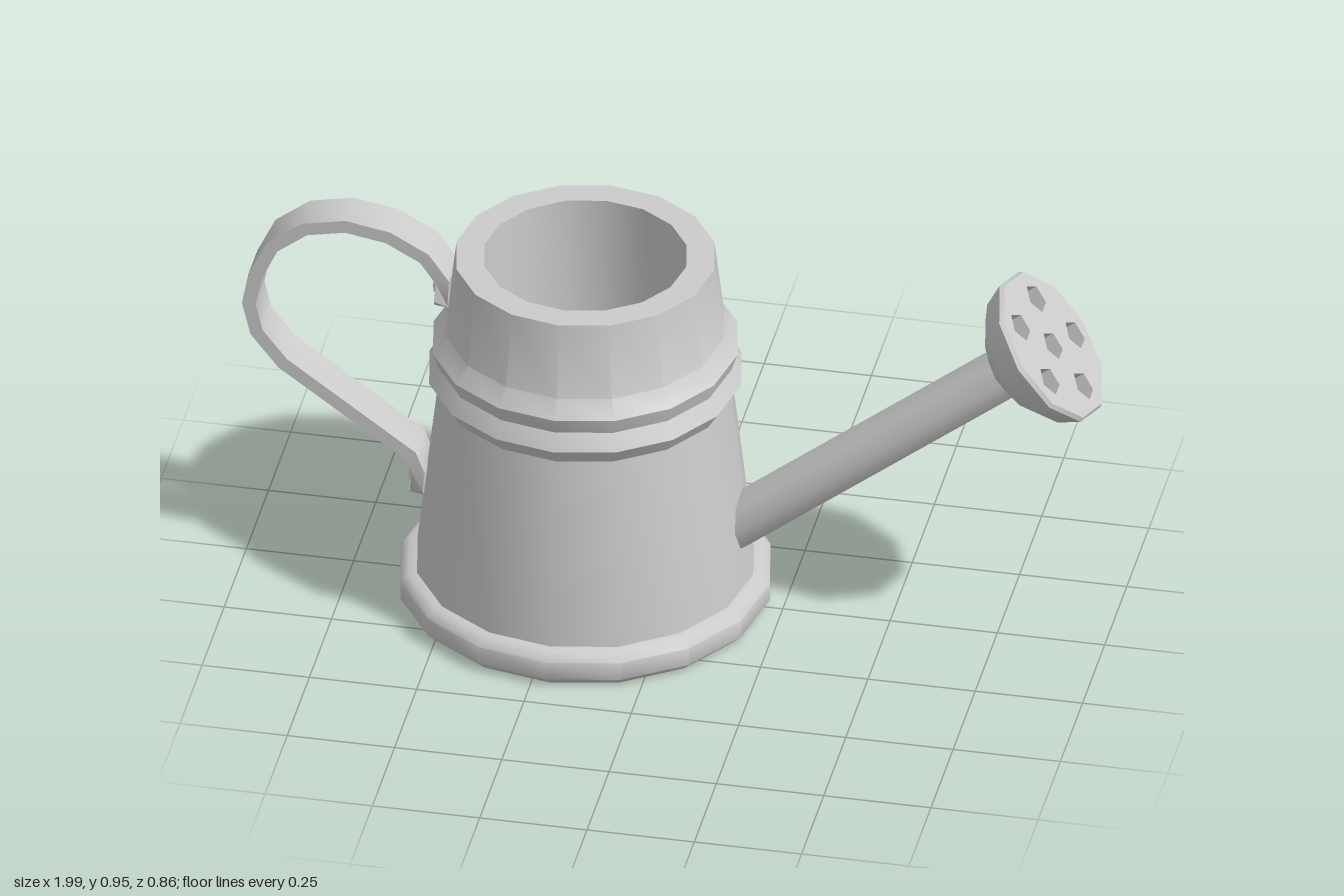
import * as THREE from 'three';
import { toCreasedNormals } from 'three/addons/utils/BufferGeometryUtils.js';

const grey = new THREE.MeshStandardMaterial({ color: 0xcccccc });
const greyDouble = new THREE.MeshStandardMaterial({ color: 0xcccccc, side: THREE.DoubleSide });

const vec = (pts) => pts.map(([x, y]) => new THREE.Vector2(x, y));

function add(parent, name, geometry, crease, material = grey) {
  const mesh = new THREE.Mesh(crease ? toCreasedNormals(geometry, crease) : geometry, material);
  mesh.name = name;
  parent.add(mesh);
  return mesh;
}

// Closed polygon points of n sides around (cx, cy)
function polygon(n, r, start, cx = 0, cy = 0) {
  return Array.from({ length: n }, (_, i) => {
    const a = start + (i / n) * Math.PI * 2;
    return new THREE.Vector2(cx + r * Math.cos(a), cy + r * Math.sin(a));
  });
}

// Flat strap: thicken a centre line in its plane, then extrude across z
function strapGeometry(path, thickness, width) {
  const left = [], right = [];
  path.forEach((p, i) => {
    const a = path[Math.max(i - 1, 0)], b = path[Math.min(i + 1, path.length - 1)];
    const t = b.clone().sub(a).normalize();
    const n = new THREE.Vector2(-t.y, t.x).multiplyScalar(thickness / 2);
    left.push(p.clone().add(n));
    right.unshift(p.clone().sub(n));
  });
  const geo = new THREE.ExtrudeGeometry(new THREE.Shape([...left, ...right]), { depth: width, bevelEnabled: false });
  geo.translate(0, 0, -width / 2);
  // Narrow both tab ends
  const pos = geo.attributes.position;
  const ends = [path[0], path[path.length - 1]];
  for (let i = 0; i < pos.count; i++) {
    const p = new THREE.Vector2(pos.getX(i), pos.getY(i));
    if (ends.some((e) => e.distanceTo(p) < thickness * 0.6)) pos.setZ(i, pos.getZ(i) * 0.5);
  }
  geo.computeVertexNormals();
  return geo;
}

export function createModel() {
  const model = new THREE.Group();
  model.name = 'wateringCan';

  // Can: tapered wall, two ridges, thick rim and hollow inside
  const can = new THREE.Group();
  can.name = 'can';
  can.position.x = -0.21;
  model.add(can);
  add(can, 'body', new THREE.LatheGeometry(vec([
    [0.395, 0.05], [0.338, 0.555], [0.363, 0.595], [0.341, 0.635], [0.354, 0.675], [0.322, 0.715],
    [0.3, 0.9], [0.235, 0.9], [0.222, 0.1], [0, 0.1],
  ]), 16), 0.6);
  add(can, 'baseRing', new THREE.LatheGeometry(vec([
    [0, 0], [0.41, 0], [0.43, 0.02], [0.43, 0.065], [0.41, 0.085], [0.37, 0.085],
  ]), 16), 0.85);

  // Spout: local y runs along the spout, origin at the centre of the rose face
  const spout = new THREE.Group();
  spout.name = 'spout';
  spout.position.set(0.88, 0.8, 0);
  spout.rotation.z = -0.907;
  model.add(spout);
  const tube = new THREE.CylinderGeometry(0.064, 0.064, 0.86, 8);
  tube.translate(0, -0.55, 0);
  add(spout, 'spoutTube', tube, 0.85);

  // Sprinkler rose
  add(spout, 'roseShell', new THREE.LatheGeometry(vec([
    [0, -0.137], [0.068, -0.137], [0.131, -0.098], [0.165, -0.066], [0.19, -0.01], [0.184, 0],
  ]), 10, Math.PI / 2), 0.7);

  // Rose face with five-sided pits: one in the middle, five around
  const face = new THREE.Shape(polygon(10, 0.184, 0));
  const centres = [[0, 0]];
  for (let k = 0; k < 5; k++) {
    const a = THREE.MathUtils.degToRad(-13 + 72 * k);
    centres.push([-0.119 * Math.sin(a), -0.119 * Math.cos(a)]);
  }
  const pitR = 0.036, pitDepth = 0.04;
  for (const [x, y] of centres) {
    face.holes.push(new THREE.Path(polygon(5, pitR, Math.PI, x, y)));
    const wall = new THREE.CylinderGeometry(pitR, pitR, pitDepth, 5, 1, true, -Math.PI / 2);
    wall.translate(x, -pitDepth / 2, -y);
    add(spout, 'pitWall', wall, 0.5, greyDouble);
    const floor = new THREE.CircleGeometry(pitR, 5, Math.PI);
    floor.rotateX(-Math.PI / 2).translate(x, -pitDepth, -y);
    add(spout, 'pitFloor', floor);
  }
  add(spout, 'roseFace', new THREE.ShapeGeometry(face).rotateX(-Math.PI / 2));

  // Handle strap with riveted tabs
  const path = vec([
    [-0.54, 0.735], [-0.537, 0.76], [-0.533, 0.815], [-0.575, 0.875], [-0.66, 0.921], [-0.76, 0.938],
    [-0.855, 0.918], [-0.93, 0.86], [-0.97, 0.775], [-0.984, 0.7], [-0.966, 0.625], [-0.905, 0.548],
    [-0.605, 0.333], [-0.59, 0.29], [-0.595, 0.245], [-0.598, 0.22],
  ]);
  add(model, 'handle', strapGeometry(path, 0.032, 0.1), 0.6);
  for (const [x, y] of [[-0.553, 0.775], [-0.609, 0.257]]) {
    const rivet = add(model, 'rivet', new THREE.SphereGeometry(0.02, 8, 6));
    rivet.position.set(x, y, 0);
    rivet.scale.x = 0.6;
  }
  return model;
}
